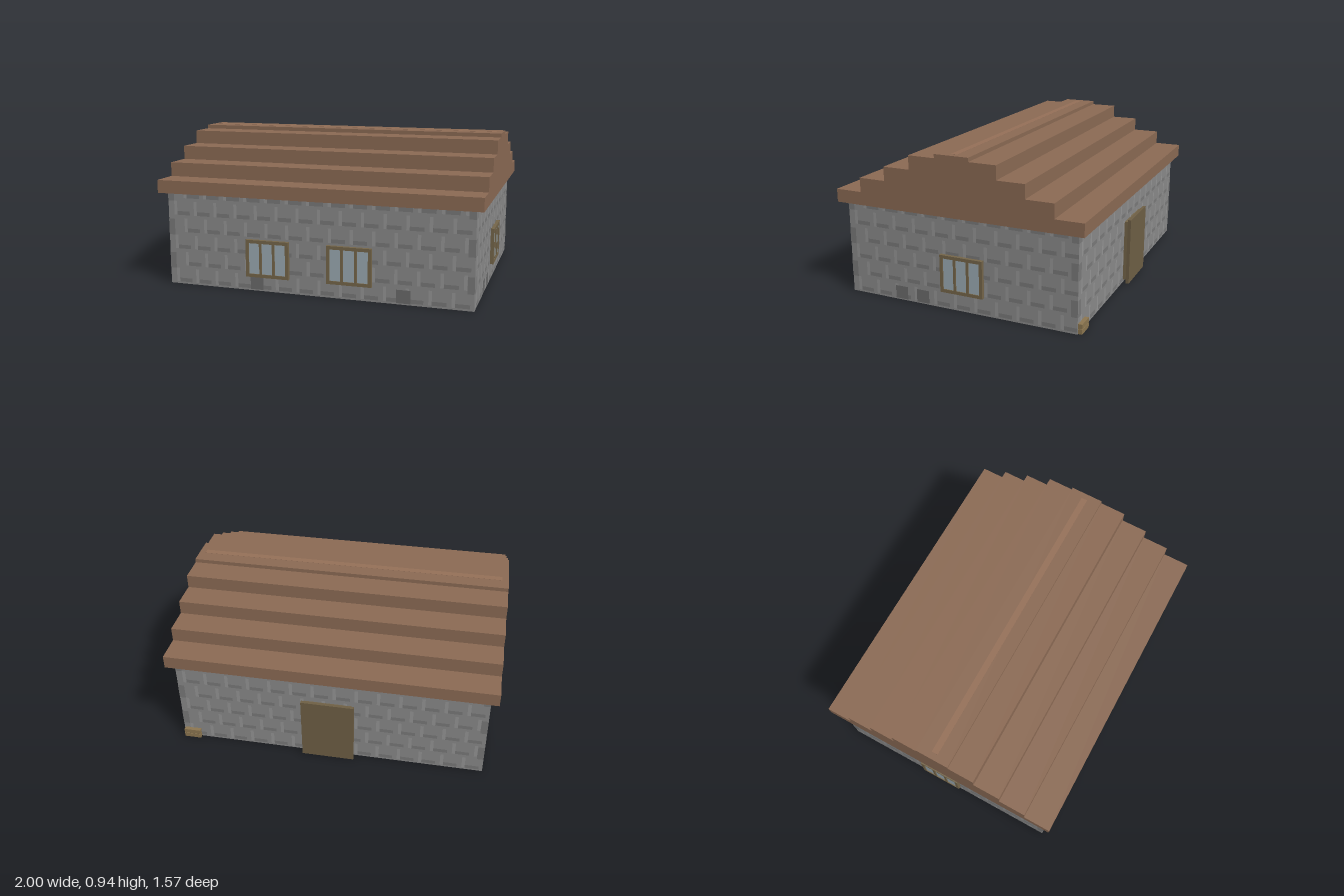
import * as THREE from 'three';
import { mergeGeometries } from 'three/addons/utils/BufferGeometryUtils.js';

const mat = (color) => new THREE.MeshStandardMaterial({ color });
const WALL = mat(0x8a8a8a), DARK = mat(0x7a7a7a), LIGHT = mat(0x969696), SPOT = mat(0x6b6b6b);
const ROOF = mat(0x8b6a54), RIDGE = mat(0x957058);
const FRAME = mat(0x75664a), DOOR = mat(0x6e5f45), GLASS = mat(0x9cabb3), STEP = mat(0x8c7650);

const HX = 0.955, HZ = 0.74, H = 0.58; // wall half width, half depth, height

function add(parent, name, geometry, material, x = 0, y = 0, z = 0) {
  const mesh = new THREE.Mesh(geometry, material);
  mesh.name = name;
  mesh.position.set(x, y, z);
  parent.add(mesh);
  return mesh;
}

// Box given by its minimum and maximum corners
function block(parent, name, material, [x0, y0, z0], [x1, y1, z1]) {
  return add(parent, name, new THREE.BoxGeometry(x1 - x0, y1 - y0, z1 - z0), material,
    (x0 + x1) / 2, (y0 + y1) / 2, (z0 + z1) / 2);
}

function rect(path, x, y, w, h) {
  path.moveTo(x, y);
  path.lineTo(x + w, y);
  path.lineTo(x + w, y + h);
  path.lineTo(x, y + h);
  path.closePath();
  return path;
}

// Coursed stone face in local coordinates: u along the wall, y up, z outwards
function stonework(parent, half, spots) {
  const dark = [], light = [], spot = [];
  const patch = (list, u0, u1, y0, y1, lift) => {
    const a = Math.max(u0, -half), b = Math.min(u1, half);
    if (b - a < 0.005) return;
    list.push(new THREE.PlaneGeometry(b - a, y1 - y0).translate((a + b) / 2, (y0 + y1) / 2, lift));
  };
  const pitch = 0.107, step = 0.134;
  for (let r = 0; r < 6; r++) {
    const y = 0.012 + r * pitch, shift = r % 2 ? step / 2 : 0;
    for (let u = -half + 0.04 + shift; u < half - 0.05; u += step) {
      patch(dark, u + 0.02, u + 0.105, y, y + 0.024, 0.001);
      patch(light, u, u + 0.02, y, Math.min(y + 0.088, H), 0.0015);
    }
    // corner stones on every other course
    if (r % 2) {
      for (const s of [-1, 1]) {
        const c = s * (half - 0.02);
        patch(dark, c - 0.02, c + 0.02, y - 0.02, Math.min(y + 0.08, H), 0.002);
      }
    }
  }
  for (const u of spots) patch(spot, u - 0.042, u + 0.042, 0.008, 0.088, 0.0025);
  add(parent, 'darkStones', mergeGeometries(dark), DARK);
  add(parent, 'lightStones', mergeGeometries(light), LIGHT);
  if (spot.length) add(parent, 'baseStones', mergeGeometries(spot), SPOT);
}

// Three-light window, centred on u, with its sill at y
function windowUnit(parent, u, y) {
  const w = 0.275, h = 0.23, edge = 0.02, bar = 0.016;
  const pane = (w - 2 * edge - 2 * bar) / 3;
  const shape = rect(new THREE.Shape(), -w / 2, 0, w, h);
  for (let i = 0; i < 3; i++) {
    shape.holes.push(rect(new THREE.Path(), -w / 2 + edge + i * (pane + bar), edge, pane, h - 2 * edge));
  }
  const group = new THREE.Group();
  group.name = 'window';
  group.position.set(u, y, 0);
  add(group, 'windowFrame', new THREE.ExtrudeGeometry(shape, { depth: 0.022, bevelEnabled: false }), FRAME);
  block(group, 'windowGlass', GLASS, [-w / 2 + 0.01, 0.01, 0], [w / 2 - 0.01, h - 0.01, 0.016]);
  parent.add(group);
}

// Stepped gable roof, extruded along x
function roof(parent) {
  const half = [0.785, 0.615, 0.445, 0.275, 0.107];
  const tops = [0.66, 0.747, 0.832, 0.916, 0.94];
  const right = [];
  half.forEach((z, i) => right.push([z, i ? tops[i - 1] : H], [z, tops[i]]));
  const left = right.map(([z, y]) => [-z, y]).reverse();
  const shape = new THREE.Shape([...right, ...left].map(([z, y]) => new THREE.Vector2(z, y)));
  const geometry = new THREE.ExtrudeGeometry(shape, { depth: 2, bevelEnabled: false });
  add(parent, 'steppedRoof', geometry.translate(0, 0, -1).rotateY(Math.PI / 2), ROOF);
  block(parent, 'ridgeStrip', RIDGE, [-0.96, 0.93, -0.02], [0.96, 0.941, 0.02]);
}

export function createModel() {
  const model = new THREE.Group();
  model.name = 'stoneCottage';

  block(model, 'walls', WALL, [-HX, 0, -HZ], [HX, H, HZ]);
  roof(model);

  // Faces, with window positions [u, y] and base stones along u
  const faces = [
    { name: 'frontFace', angle: 0, half: HX, out: HZ, windows: [[-0.292, 0.09], [0.222, 0.09]], spots: [-0.367, 0.547] },
    { name: 'leftFace', angle: Math.PI / 2, half: HZ, out: HX, windows: [[0.03, 0.11]], spots: [-0.387, -0.24] },
    { name: 'backFace', angle: Math.PI, half: HX, out: HZ, windows: [], spots: [] },
    { name: 'rightFace', angle: -Math.PI / 2, half: HZ, out: HX, windows: [[-0.03, 0.09]], spots: [] },
  ];
  for (const { name, angle, half, out, windows, spots } of faces) {
    const face = new THREE.Group();
    face.name = name;
    face.rotation.y = angle;
    face.position.set(Math.sin(angle) * out, 0, Math.cos(angle) * out);
    stonework(face, half, spots);
    for (const [u, y] of windows) windowUnit(face, u, y);
    model.add(face);
  }

  // Back door with its casing behind the slab
  block(model, 'doorCasing', FRAME, [-0.14, 0.02, -0.765], [0.15, 0.405, -HZ]);
  block(model, 'door', DOOR, [-0.157, 0.003, -0.785], [0.167, 0.425, -0.765]);

  // Small two-tier step at the back corner
  block(model, 'lowerStep', STEP, [0.845, 0.002, -0.765], [0.95, 0.03, -HZ]);
  block(model, 'upperStep', STEP, [0.845, 0.034, -0.765], [0.95, 0.062, -HZ]);
  block(model, 'stepCore', DOOR, [0.85, 0.01, -0.762], [0.945, 0.055, -HZ]);

  return model;
}
